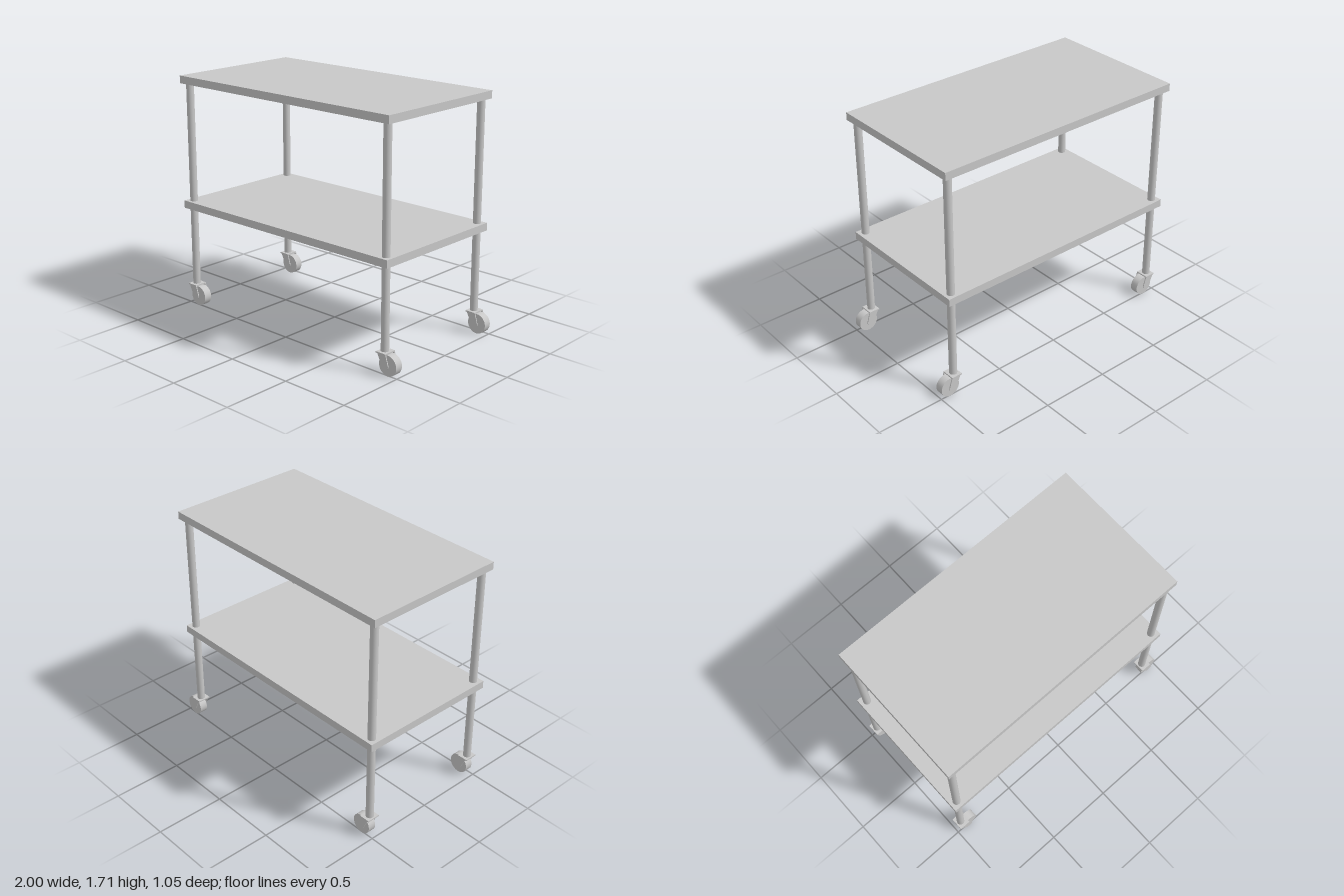
import * as THREE from 'three';

export function createModel() {
  const model = new THREE.Group();
  model.name = 'trolley';
  const grey = new THREE.MeshStandardMaterial({ color: 0xc8c8c8 });
  grey.name = 'light grey';

  function add(parent, name, geometry, x, y, z) {
    const mesh = new THREE.Mesh(geometry, grey);
    mesh.name = name;
    mesh.position.set(x, y, z);
    parent.add(mesh);
    return mesh;
  }

  // Two identical shelves
  const shelf = new THREE.BoxGeometry(1.93, 0.055, 1.054);
  add(model, 'topShelf', shelf, -0.035, 1.682, 0);
  add(model, 'lowerShelf', shelf, -0.035, 0.764, 0);

  // Shared leg and caster geometry
  const leg = new THREE.CylinderGeometry(0.0275, 0.0275, 1.5, 32);
  const plate = new THREE.BoxGeometry(0.08, 0.009, 0.095);
  const wheel = new THREE.CylinderGeometry(0.072, 0.072, 0.058, 40).rotateX(Math.PI / 2);
  const axle = new THREE.CylinderGeometry(0.009, 0.009, 0.09, 16).rotateX(Math.PI / 2);

  // Swept fork arm with a rounded lower end
  const armShape = new THREE.Shape();
  armShape.moveTo(-0.026, 0.152);
  armShape.lineTo(0.012, 0.068);
  armShape.quadraticCurveTo(0.020, 0.052, 0.038, 0.052);
  armShape.lineTo(0.050, 0.052);
  armShape.quadraticCurveTo(0.068, 0.056, 0.066, 0.076);
  armShape.lineTo(0.043, 0.152);
  armShape.closePath();
  const arm = new THREE.ExtrudeGeometry(armShape, { depth: 0.007, bevelEnabled: false, curveSegments: 8 });
  arm.translate(0, 0, -0.0035);

  // One leg with its trailing caster at each corner
  for (const x of [-0.95, 0.88]) {
    for (const z of [-0.478, 0.478]) {
      add(model, 'leg', leg, x, 0.905, z);
      const caster = new THREE.Group();
      caster.name = 'caster';
      caster.position.set(x, 0, z);
      model.add(caster);
      add(caster, 'casterPlate', plate, 0.003, 0.151, 0);
      add(caster, 'wheel', wheel, 0.048, 0.072, 0);
      add(caster, 'axle', axle, 0.044, 0.072, 0);
      for (const side of [-1, 1]) add(caster, 'forkArm', arm, 0, 0, side * 0.044);
    }
  }
  return model;
}
